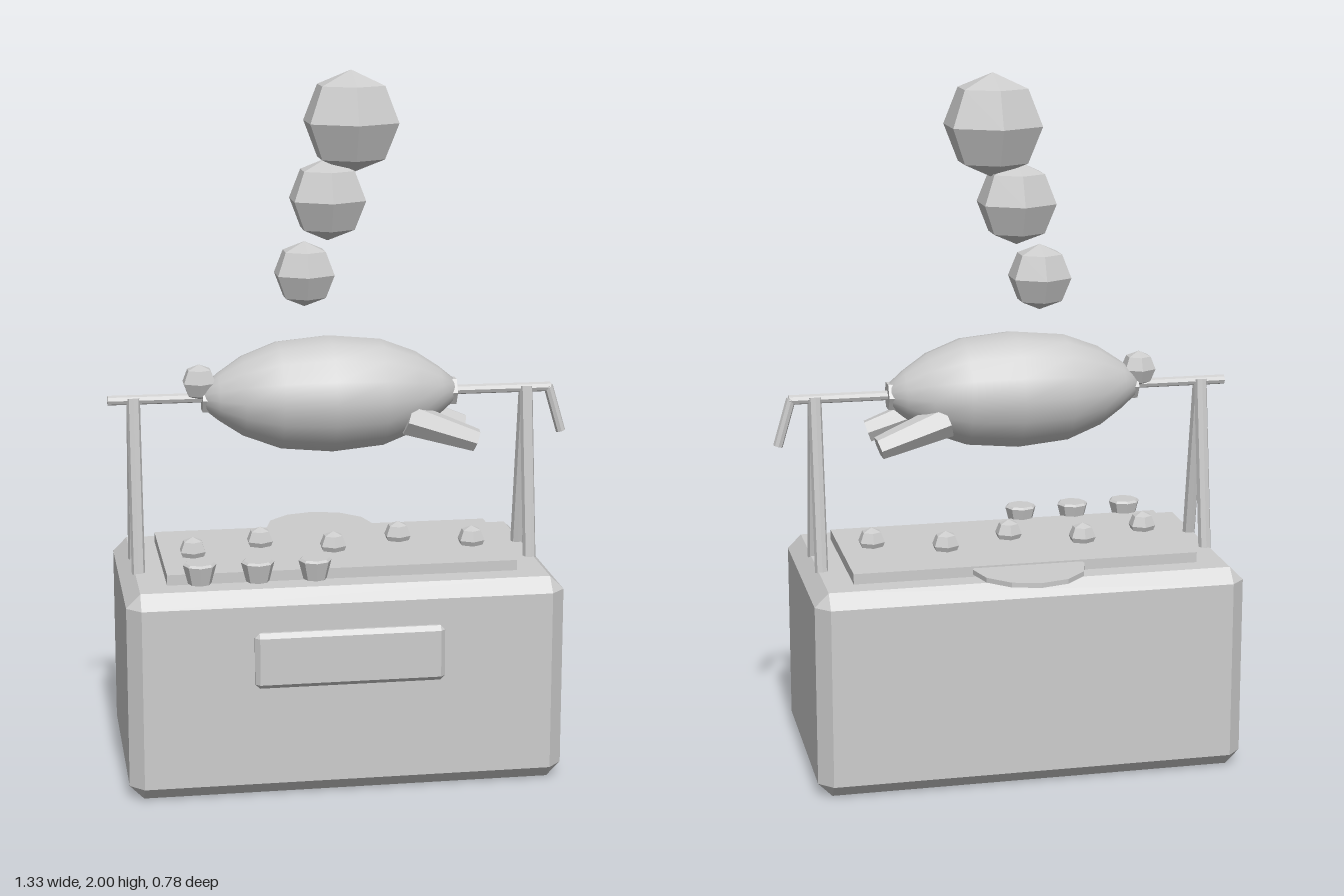
import * as THREE from 'three';
import { ConvexGeometry } from 'three/addons/geometries/ConvexGeometry.js';

const V = (x, y, z) => new THREE.Vector3(x, y, z);

// Box with flat chamfers on every edge: each corner becomes three points
function chamferBox(w, h, d, c) {
  const pts = [];
  for (const sx of [-1, 1]) for (const sy of [-1, 1]) for (const sz of [-1, 1]) {
    const x = w / 2, y = h / 2, z = d / 2;
    pts.push(
      V(sx * x, sy * (y - c), sz * (z - c)),
      V(sx * (x - c), sy * y, sz * (z - c)),
      V(sx * (x - c), sy * (y - c), sz * z));
  }
  return new ConvexGeometry(pts);
}

export function createModel() {
  const group = new THREE.Group();
  const grey = new THREE.MeshStandardMaterial({ color: 0xcccccc });
  grey.name = 'grey';
  grey.flatShading = true;
  const Z = 0.015; // depth of the spit axis

  function add(name, geometry, x, y, z) {
    const mesh = new THREE.Mesh(geometry, grey);
    mesh.name = name;
    mesh.position.set(x, y, z);
    group.add(mesh);
    return mesh;
  }
  // Straight bar between two points
  function bar(name, a, b, rA, rB, sides) {
    const dir = b.clone().sub(a);
    const mid = a.clone().add(b).multiplyScalar(0.5);
    const mesh = add(name, new THREE.CylinderGeometry(rB, rA, dir.length(), sides), mid.x, mid.y, mid.z);
    mesh.quaternion.setFromUnitVectors(V(0, 1, 0), dir.normalize());
    return mesh;
  }
  // Coarse six-sided ball with a corner facing front
  const ball = (name, r, x, y, z) =>
    add(name, new THREE.SphereGeometry(r, 6, 4).rotateY(Math.PI / 2), x, y, z);

  // Grill cabinet
  add('cabinet', chamferBox(1.24, 0.6, 0.67, 0.04), -0.025, 0.3, 0.015);
  add('grillPlate', new THREE.BoxGeometry(1, 0.03, 0.456), -0.025, 0.615, 0.012);
  add('frontPanel', chamferBox(0.536, 0.16, 0.034, 0.013), -0.027, 0.41, 0.369);
  add('rearDisc', new THREE.CylinderGeometry(0.162, 0.162, 0.014, 12), -0.025, 0.618, -0.23);

  // Control knobs, wider at the top
  const knobProfile = [[0, -0.06], [0.033, -0.06], [0.047, -0.006], [0.04, 0], [0, 0]]
    .map(([r, y]) => new THREE.Vector2(r, y));
  for (const x of [-0.435, -0.272, -0.11]) {
    add('knob', new THREE.LatheGeometry(knobProfile, 8), x, 0.668, 0.257);
  }

  // Coals in a zigzag
  for (let i = 0; i < 5; i++) {
    ball('coal', 0.041, -0.435 + i * 0.204, 0.644, i % 2 ? -0.03 : 0.05);
  }

  // A-frame supports
  for (const x of [-0.595, 0.545]) for (const s of [-1, 1]) {
    bar('supportLeg', V(x, 0.595, Z + s * 0.082), V(x, 1.09, Z + s * 0.006), 0.019, 0.019, 8);
  }

  // Spit and crank
  bar('spit', V(-0.668, 1.085, Z), V(0.618, 1.085, Z), 0.014, 0.014, 8);
  bar('crank', V(0.612, 1.088, Z), V(0.652, 0.952, Z), 0.014, 0.014, 8);

  // Roast body, smooth and turned around the spit
  const half = [[0.148, 0.155], [0.25, 0.116], [0.32, 0.069], [0.367, 0.03]];
  const profile = [
    [0, -0.367], ...half.slice().reverse().map(([t, r]) => [r, -t]),
    [0.169, 0], ...half.map(([t, r]) => [r, t]), [0, 0.367],
  ].map(([r, t]) => new THREE.Vector2(r, t));
  const smoothGrey = grey.clone();
  smoothGrey.name = 'smooth grey';
  smoothGrey.flatShading = false;
  const body = add('roastBody', new THREE.LatheGeometry(profile, 16).rotateZ(-Math.PI / 2), -0.033, 1.086, Z);
  body.material = smoothGrey;
  body.scale.z = 1.04;

  // Blunt ends, hind legs and small ball on the front end
  for (const [a, b] of [[-0.33, -0.4], [0.27, 0.336]]) {
    bar('bodyEnd', V(a, 1.083, Z), V(b, 1.083, Z), 0.044, 0.042, 6);
  }
  for (const s of [-1, 1]) {
    bar('hindLeg', V(0.18, 1.025, Z + s * 0.088), V(0.378, 0.957, Z + s * 0.104), 0.05, 0.034, 6);
  }
  ball('headBall', 0.052, -0.407, 1.13, Z);

  // Rising smoke puffs
  ball('smokePuff', 0.094, -0.095, 1.424, -0.05);
  ball('smokePuff', 0.118, -0.028, 1.637, -0.048);
  ball('smokePuff', 0.146, 0.04, 1.856, -0.05);

  return group;
}
